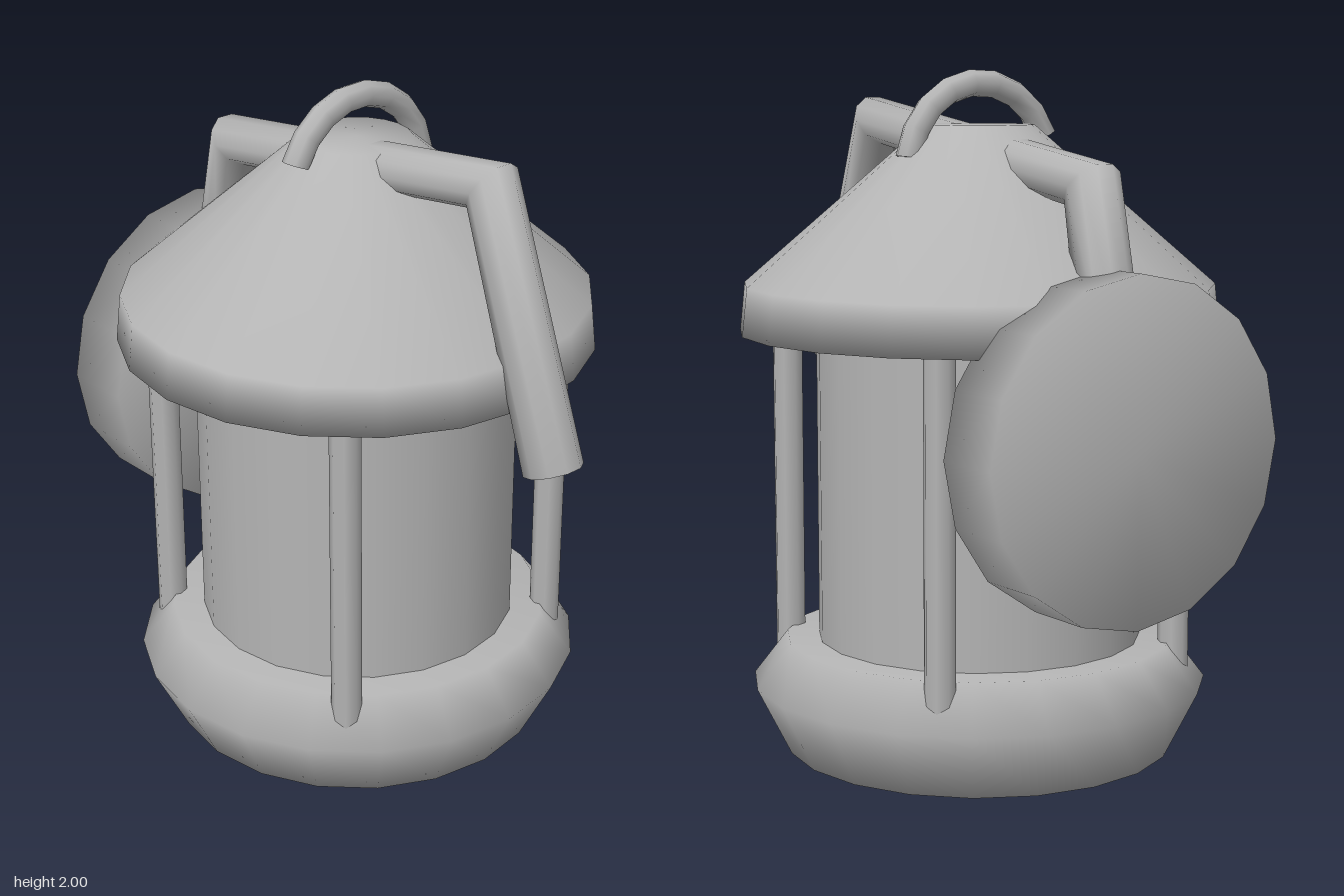
import * as THREE from 'three';

const metal = new THREE.MeshStandardMaterial({ color: 0xb4b4b4 });
metal.name = 'grey metal';
const AXIS_Z = -0.065; // lantern axis

function add(parent, name, geometry, x = 0, y = 0, z = 0) {
  const mesh = new THREE.Mesh(geometry, metal);
  mesh.name = name;
  mesh.position.set(x, y, z);
  parent.add(mesh);
  return mesh;
}

// Smooth turned solid from [radius, height] pairs, bottom to top
const turned = (profile, sides) =>
  new THREE.LatheGeometry(profile.map(([r, y]) => new THREE.Vector2(r, y)), sides);

// Bent round rod through [z, y] points in the x = 0 plane, with capped ends
function bentRod(path, radius, sides) {
  const pts = path.map(([z, y]) => new THREE.Vector2(z, y));
  const positions = [], indices = [];
  pts.forEach((p, i) => {
    const dir = new THREE.Vector2();
    if (i > 0) dir.add(p.clone().sub(pts[i - 1]).normalize());
    if (i < pts.length - 1) dir.add(pts[i + 1].clone().sub(p).normalize());
    dir.normalize();
    for (let j = 0; j < sides; j++) {
      const a = (j / sides) * Math.PI * 2;
      const s = radius * Math.sin(a);
      positions.push(radius * Math.cos(a), p.y + dir.x * s, p.x - dir.y * s);
      if (i > 0) {
        const k = (j + 1) % sides;
        const a0 = (i - 1) * sides + j, a1 = (i - 1) * sides + k;
        const b0 = i * sides + j, b1 = i * sides + k;
        indices.push(a0, b0, a1, a1, b0, b1);
      }
    }
  });
  const last = (pts.length - 1) * sides;
  for (let j = 1; j < sides - 1; j++) {
    indices.push(0, j, j + 1, last, last + j + 1, last + j);
  }
  const g = new THREE.BufferGeometry();
  g.setAttribute('position', new THREE.Float32BufferAttribute(positions, 3));
  // Order corners so that faces look outwards
  const v = (n) => new THREE.Vector3().fromArray(positions, n * 3);
  let volume = 0;
  for (let i = 0; i < indices.length; i += 3) {
    volume += v(indices[i]).dot(v(indices[i + 1]).cross(v(indices[i + 2])));
  }
  if (volume < 0) indices.reverse();
  g.setIndex(indices);
  g.computeVertexNormals();
  return g;
}

export function createModel() {
  const model = new THREE.Group();
  model.name = 'wallLantern';

  // Lantern: base, glass, roof
  const lantern = new THREE.Group();
  lantern.name = 'lantern';
  lantern.position.z = AXIS_Z;
  model.add(lantern);
  add(lantern, 'base', turned([[0, 0], [0.575, 0], [0.675, 0.2], [0.575, 0.33], [0, 0.33]], 20));
  add(lantern, 'glass', new THREE.CylinderGeometry(0.48, 0.48, 0.96, 20, 1, true), 0, 0.78, 0);
  add(lantern, 'roof', turned([[0, 1.24], [0.705, 1.24], [0.69, 1.38], [0.16, 1.84], [0, 1.84]], 20));

  // Four corner bars
  for (const x of [-1, 1]) {
    for (const z of [-1, 1]) {
      add(lantern, 'cornerBar', new THREE.CylinderGeometry(0.045, 0.045, 1.08, 8), x * 0.412, 0.76, z * 0.412);
    }
  }

  // Carrying loop on the roof, with closed ends
  const start = THREE.MathUtils.degToRad(8), sweep = THREE.MathUtils.degToRad(150);
  const loop = add(lantern, 'topLoop', new THREE.TorusGeometry(0.245, 0.039, 8, 8, sweep), 0, 1.715, 0);
  loop.rotation.z = start;
  for (const [angle, turn] of [[0, Math.PI / 2], [sweep, -Math.PI / 2]]) {
    const cap = add(loop, 'loopEnd', new THREE.CircleGeometry(0.039, 8),
      0.245 * Math.cos(angle), 0.245 * Math.sin(angle), 0);
    cap.rotation.set(turn, angle, 0, 'ZXY');
    cap.rotation.set(turn, 0, angle, 'ZXY');
  }

  // Arm running through the roof from the wall plate to the drooping front end
  add(model, 'arm', bentRod([[0.742, 1.088], [0.478, 1.842], [-0.607, 1.685], [-0.69, 1.28]], 0.086, 10));

  // Round wall plate
  const plate = add(model, 'wallPlate',
    turned([[0, -0.108], [0.487, -0.108], [0.487, 0.108], [0, 0.108]], 16), 0, 0.975, -0.717);
  plate.rotation.x = Math.PI / 2;

  return model;
}
